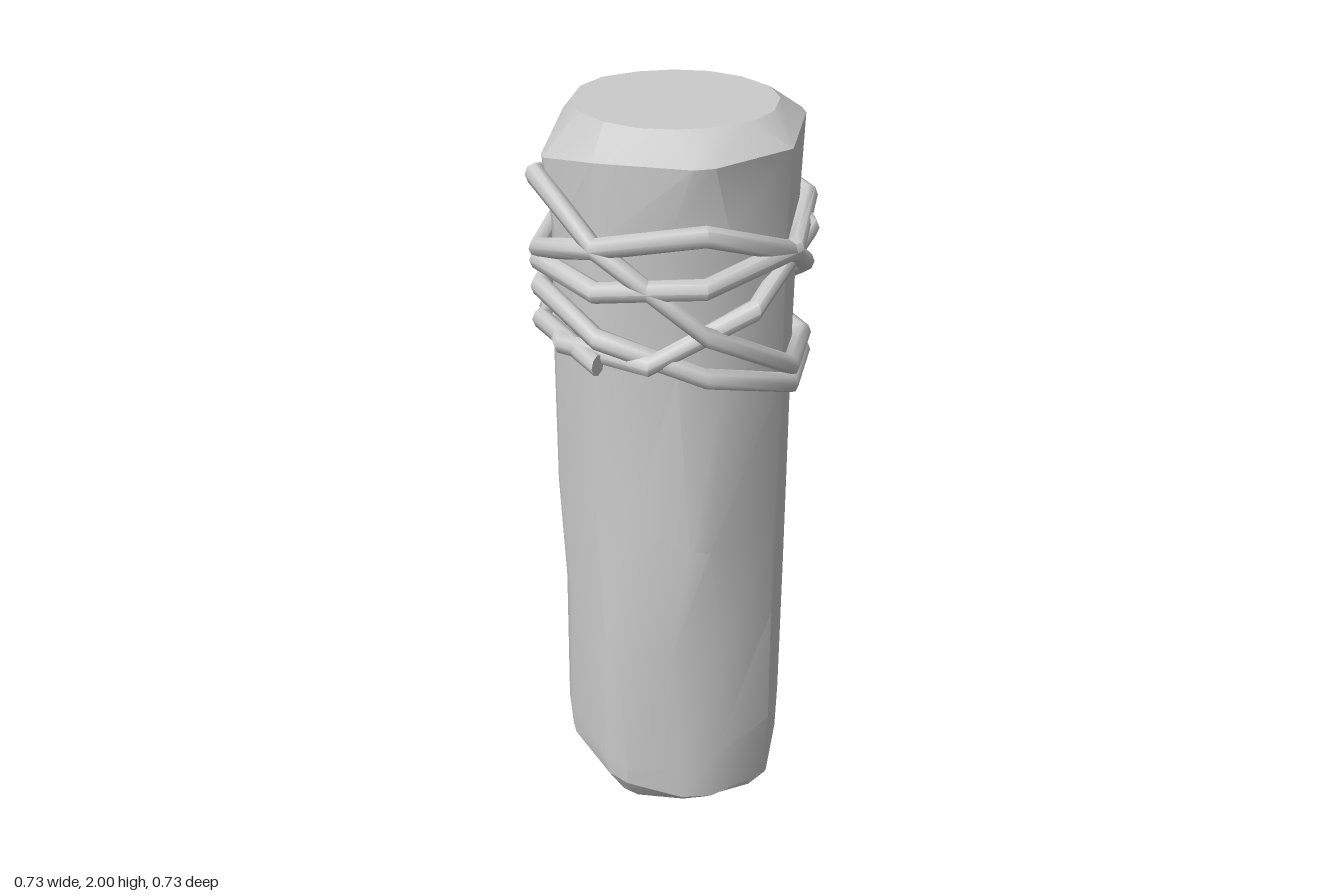
import * as THREE from 'three';
import { toCreasedNormals } from 'three/addons/utils/BufferGeometryUtils.js';

const material = new THREE.MeshStandardMaterial({ color: 0xcccccc });

// Skin a list of equal-sized rings of points, with optional end caps
function loft(rings, crease, caps) {
  const n = rings[0].length, pos = rings.flat().flatMap(p => p.toArray()), index = [];
  for (let j = 0; j < rings.length - 1; j++) {
    for (let i = 0; i < n; i++) {
      const a = j * n + i, b = j * n + (i + 1) % n;
      index.push(a, a + n, b, b, a + n, b + n);
    }
  }
  if (caps) {
    [0, rings.length - 1].forEach((j, last) => {
      const c = new THREE.Vector3();
      rings[j].forEach(p => c.addScaledVector(p, 1 / n));
      const centre = pos.length / 3;
      pos.push(c.x, c.y, c.z);
      for (let i = 0; i < n; i++) {
        const a = j * n + i, b = j * n + (i + 1) % n;
        index.push(centre, last ? b : a, last ? a : b);
      }
    });
  }
  const g = new THREE.BufferGeometry();
  g.setAttribute('position', new THREE.Float32BufferAttribute(pos, 3));
  g.setIndex(index);
  return toCreasedNormals(g, crease);
}

// Corner k of the octagon, counted from +x towards +z
const corner = (k, r, y) =>
  new THREE.Vector3(r * Math.cos(k * Math.PI / 4), y, r * Math.sin(k * Math.PI / 4));

// Ring of eight corners, each cut by its own amount of wear
function postRing(radius, height, wear) {
  const c = [0, 1, 2, 3, 4, 5, 6, 7].map(k => corner(k, radius(k), height(k)));
  return c.flatMap((p, k) => [
    p.clone().lerp(c[(k + 7) % 8], wear(k)),
    p.clone().lerp(c[(k + 1) % 8], wear(k)),
  ]);
}

function makePost() {
  const worn = [0.2, 0.03, 0.28, 0.2, 0.15, 0.22, 0.2, 0.25];
  const rimY = [1.95, 1.94, 1.94, 1.94, 1.88, 1.93, 1.87, 1.95];
  const topR = [0.265, 0.26, 0.23, 0.24, 0.26, 0.26, 0.23, 0.24];
  const baseR = [0.24, 0.29, 0.24, 0.25, 0.23, 0.28, 0.25, 0.27];
  const baseY = [0.05, 0.05, 0.06, 0.1, 0.13, 0.06, 0.05, 0.05];
  const rings = [
    postRing(k => baseR[k], () => 0, () => 0.15),
    postRing(k => 0.313 - 0.05 * (baseY[k] - 0.05), k => baseY[k], k => worn[k] * 0.7),
  ];
  // Shaft, with wear that wanders along each corner
  [0.2, 0.6, 0.95, 1.4, 1.75].forEach((y, j) => rings.push(postRing(
    k => 0.317 + 0.004 * Math.sin(k * 2.3 + j * 1.9),
    k => y + 0.06 * Math.sin(k * 1.7 + j),
    k => worn[k] * (0.8 + 0.4 * Math.sin(k * 3.1 + j * 2.2)))));
  // Rim and flat top
  rings.push(postRing(k => k % 2 ? 0.322 : 0.326, k => rimY[k], k => worn[k] * 0.4));
  rings.push(postRing(k => topR[k], () => 2, () => 0.25));
  return loft(rings, 0.42, true);
}

// Rope strand bent around the post's corners; heights start at corner k0
function makeRope(k0, heights, closed, radius = 0.338) {
  const sides = 8, thick = 0.025;
  const ring = (k, y) => Array.from({ length: sides }, (_, i) => {
    const a = -i * 2 * Math.PI / sides;
    return corner(k, radius + thick * Math.cos(a), y + thick * 1.1 * Math.sin(a));
  });
  const rings = heights.map((y, i) => ring(k0 + i, y));
  if (closed) rings.push(ring(k0 + heights.length, heights[0]));
  return loft(rings, 1, !closed);
}

export function createModel() {
  const group = new THREE.Group();
  const add = (name, geometry) => {
    const mesh = new THREE.Mesh(geometry, material);
    mesh.name = name;
    group.add(mesh);
  };
  add('post', makePost());

  // Three closed turns of rope
  add('tiltedRope', makeRope(4, [1.84, 1.75, 1.62, 1.39, 1.35, 1.39, 1.54, 1.74], true));
  add('upperRope', makeRope(4, [1.62, 1.67, 1.76, 1.77, 1.73, 1.70, 1.66, 1.63], true));
  add('lowerRope', makeRope(4, [1.55, 1.56, 1.51, 1.38, 1.30, 1.34, 1.43, 1.51], true));
  // Loose strand winding from one tucked end to the other
  add('looseRope', makeRope(-0.5,
    [1.74, 1.70, 1.58, 1.46, 1.45, 1.43, 1.38, 1.37, 1.46], false, 0.33));
  add('crossingRope', makeRope(3,
    [1.44, 1.46, 1.40, 1.37, 1.38, 1.55, 1.69, 1.79, 1.74, 1.65, 1.66], false));
  return group;
}
